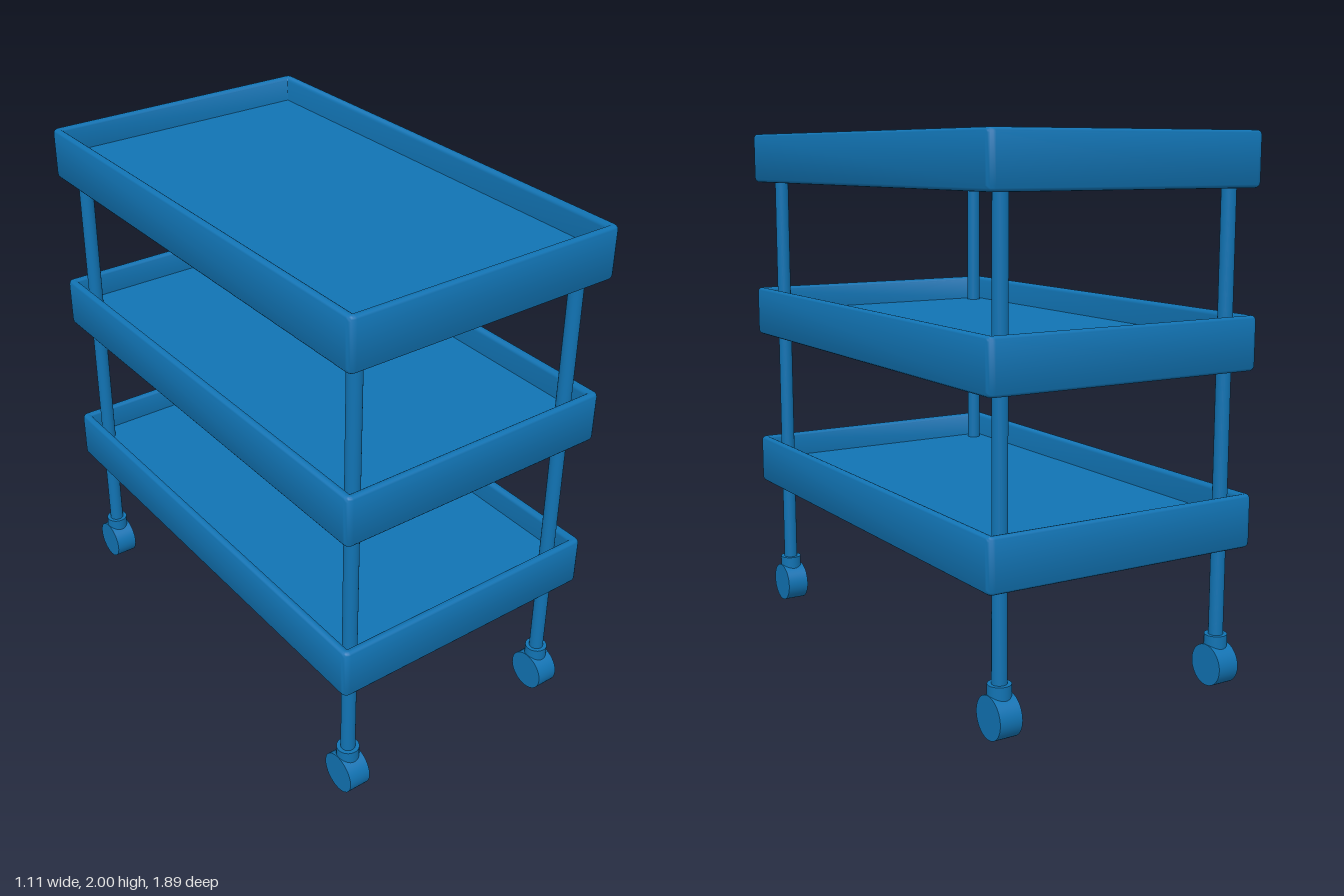
import * as THREE from 'three';
import { toCreasedNormals } from 'three/addons/utils/BufferGeometryUtils.js';

const material = new THREE.MeshStandardMaterial({ color: 0x1173b3 });
const HALF_W = 0.553, HALF_D = 0.946, TRAY_H = 0.197, WALL = 0.034, FLOOR = 0.1, R = 0.02;

// Quarter-circle points [inset, y] from angle a to angle b
function arc(ci, cy, r, a, b, n = 4) {
  return Array.from({ length: n + 1 }, (_, k) => {
    const t = a + (b - a) * k / n;
    return [ci - r * Math.cos(t), cy + r * Math.sin(t)];
  });
}

// Rounded-rectangle loop at a given inset and height
function loop(inset, y, steps = 4) {
  const r = Math.max(0.025 - inset, 0.004);
  const cx = HALF_W - inset - r, cz = HALF_D - inset - r;
  const pts = [];
  [[1, 1], [-1, 1], [-1, -1], [1, -1]].forEach(([sx, sz], q) => {
    for (let k = 0; k <= steps; k++) {
      const a = (q + k / steps) * Math.PI / 2;
      pts.push([sx * cx + r * Math.cos(a), y, sz * cz + r * Math.sin(a)]);
    }
  });
  return pts;
}

// Hollow tray: one wall profile swept around the rectangle, capped below and inside
function trayGeometry() {
  const H = Math.PI / 2, rim = WALL / 2;
  const profile = [
    ...arc(R, R, R, -H, 0),
    ...arc(rim, TRAY_H - rim, rim, 0, H),
    ...arc(rim, TRAY_H - rim, rim, H, Math.PI).slice(1),
    [WALL, FLOOR],
  ];
  const loops = profile.map(([i, y]) => loop(i, y));
  const n = loops[0].length, pos = [];
  const tri = (a, b, c) => pos.push(...a, ...b, ...c);
  const last = loops.length - 1;
  for (let j = 0; j < n; j++) {
    const k = (j + 1) % n;
    for (let i = 0; i < last; i++) {
      const a = loops[i][j], b = loops[i][k], c = loops[i + 1][k], d = loops[i + 1][j];
      tri(a, d, c);
      tri(a, c, b);
    }
    tri([0, 0, 0], loops[0][j], loops[0][k]);
    tri([0, FLOOR, 0], loops[last][k], loops[last][j]);
  }
  const g = new THREE.BufferGeometry();
  g.setAttribute('position', new THREE.Float32BufferAttribute(pos, 3));
  return toCreasedNormals(g, 0.7);
}

function add(parent, name, geometry, x, y, z) {
  const mesh = new THREE.Mesh(geometry, material);
  mesh.name = name;
  mesh.position.set(x, y, z);
  parent.add(mesh);
  return mesh;
}

export function createModel() {
  const cart = new THREE.Group();
  cart.name = 'trolley';

  // Three trays
  const tray = trayGeometry();
  [['lowerTray', 0.523], ['middleTray', 1.165], ['upperTray', 1.803]]
    .forEach(([name, y]) => add(cart, name, tray, 0, y, 0));

  // Four posts, each with a swivel collar and a wheel
  const post = new THREE.CylinderGeometry(0.027, 0.027, 1.7, 32);
  const collar = new THREE.CylinderGeometry(0.042, 0.042, 0.09, 32);
  const wheel = new THREE.CylinderGeometry(0.077, 0.077, 0.087, 40);
  wheel.rotateZ(Math.PI / 2);
  for (const sx of [-1, 1]) for (const sz of [-1, 1]) {
    const leg = new THREE.Group();
    leg.name = (sz > 0 ? 'front' : 'back') + (sx > 0 ? 'Left' : 'Right') + 'Leg';
    leg.position.set(sx * 0.466 - 0.005, 0, sz * 0.863);
    add(leg, 'post', post, 0, 1.0, 0);
    add(leg, 'collar', collar, 0, 0.145, 0);
    add(leg, 'wheel', wheel, 0, 0.077, 0);
    cart.add(leg);
  }
  return cart;
}
